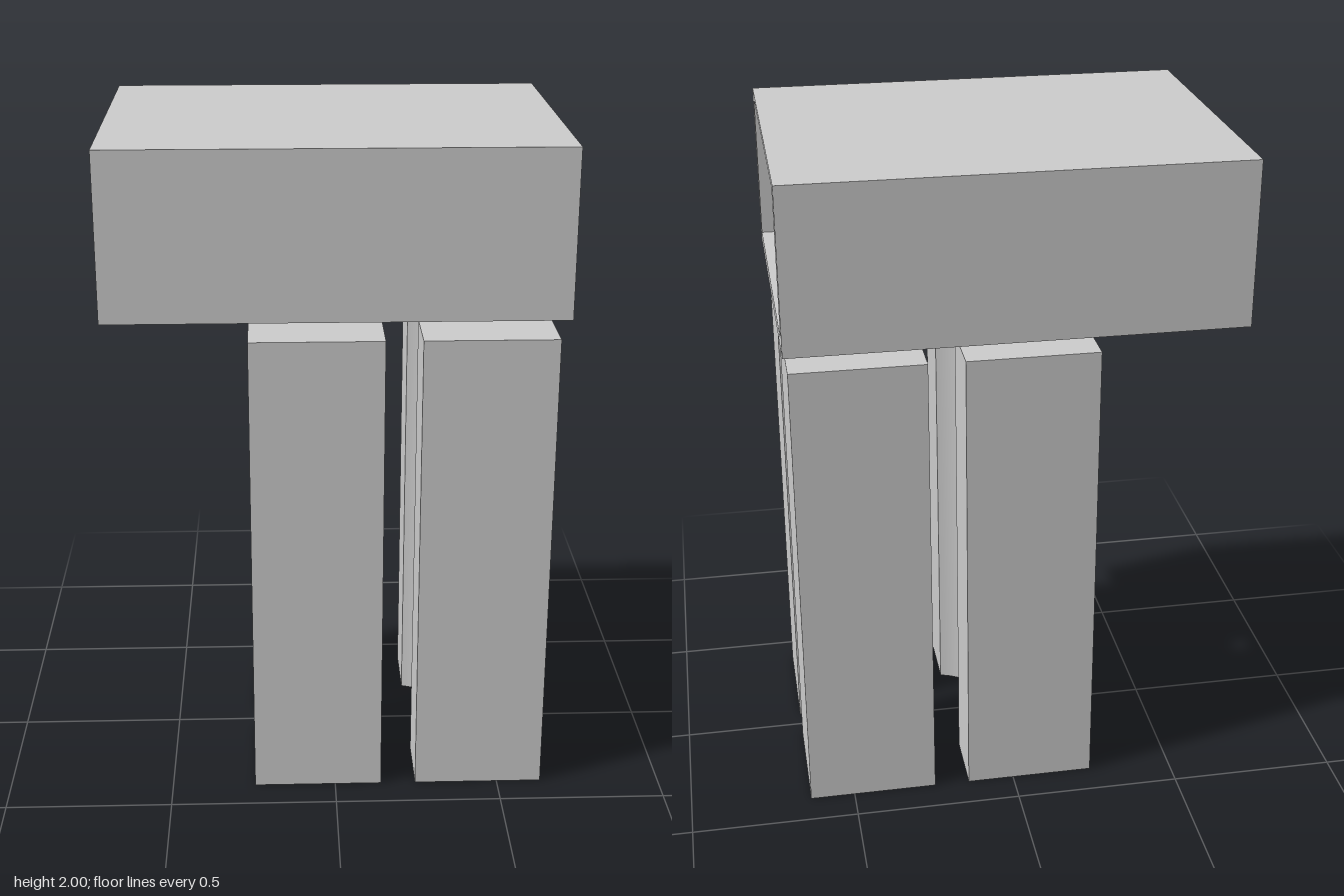
import * as THREE from 'three';
import { toCreasedNormals } from 'three/addons/utils/BufferGeometryUtils.js';

const material = new THREE.MeshStandardMaterial({ color: 0xcccccc });
const BORE_X = 0.194, BORE_R = 0.208; // round bore shared by posts and box floor

// Extrudes a plan outline (x, -z) upward from y0 to y1
function slab(name, shape, y0, y1) {
  const geo = new THREE.ExtrudeGeometry(shape, { depth: y1 - y0, bevelEnabled: false, curveSegments: 48 });
  geo.rotateX(-Math.PI / 2);
  geo.translate(0, y0, 0);
  const mesh = new THREE.Mesh(toCreasedNormals(geo, 0.5), material);
  mesh.name = name;
  return mesh;
}

function outline(points) {
  return new THREE.Shape(points.map(([x, y]) => new THREE.Vector2(x, y)));
}

// Square post whose inner corner is cut away by the bore
function postShape(sx, sy) {
  const gap = 0.053, outX = 0.441, outY = 0.4, steps = 14;
  const a0 = Math.asin(gap / BORE_R), a1 = Math.PI / 2 - a0;
  const points = [[gap, outY], [outX, outY], [outX, gap]];
  for (let i = 0; i <= steps; i++) {
    const a = a0 + (a1 - a0) * i / steps;
    points.push([BORE_R * Math.cos(a), BORE_R * Math.sin(a)]);
  }
  return outline(points.map(([x, y]) => [BORE_X + sx * x, sy * y]));
}

export function createModel() {
  const model = new THREE.Group();
  model.name = 'boxOnPosts';

  // Four posts around the bore
  const posts = new THREE.Group();
  posts.name = 'posts';
  for (const sx of [-1, 1]) for (const sy of [-1, 1]) {
    const name = (sy < 0 ? 'front' : 'back') + (sx > 0 ? 'Left' : 'Right') + 'Post';
    posts.add(slab(name, postShape(sx, sy), 0, 1.437));
  }
  model.add(posts);

  // Hollow box, open on the +x end
  const box = new THREE.Group();
  box.name = 'hollowBox';
  const X = 0.65, Z = 0.485, inX = -0.6, inZ = 0.432;
  const rect = () => outline([[-X, -Z], [X, -Z], [X, Z], [-X, Z]]);

  const floor = rect();
  floor.holes.push(new THREE.Path().absarc(BORE_X, 0, BORE_R, 0, Math.PI * 2, true));
  box.add(slab('boxFloor', floor, 1.52, 1.557));

  const walls = outline([[-X, -Z], [X, -Z], [X, -inZ], [inX, -inZ], [inX, inZ], [X, inZ], [X, Z], [-X, Z]]);
  box.add(slab('boxWalls', walls, 1.557, 1.979));
  box.add(slab('boxRoof', rect(), 1.979, 2));
  model.add(box);

  return model;
}
